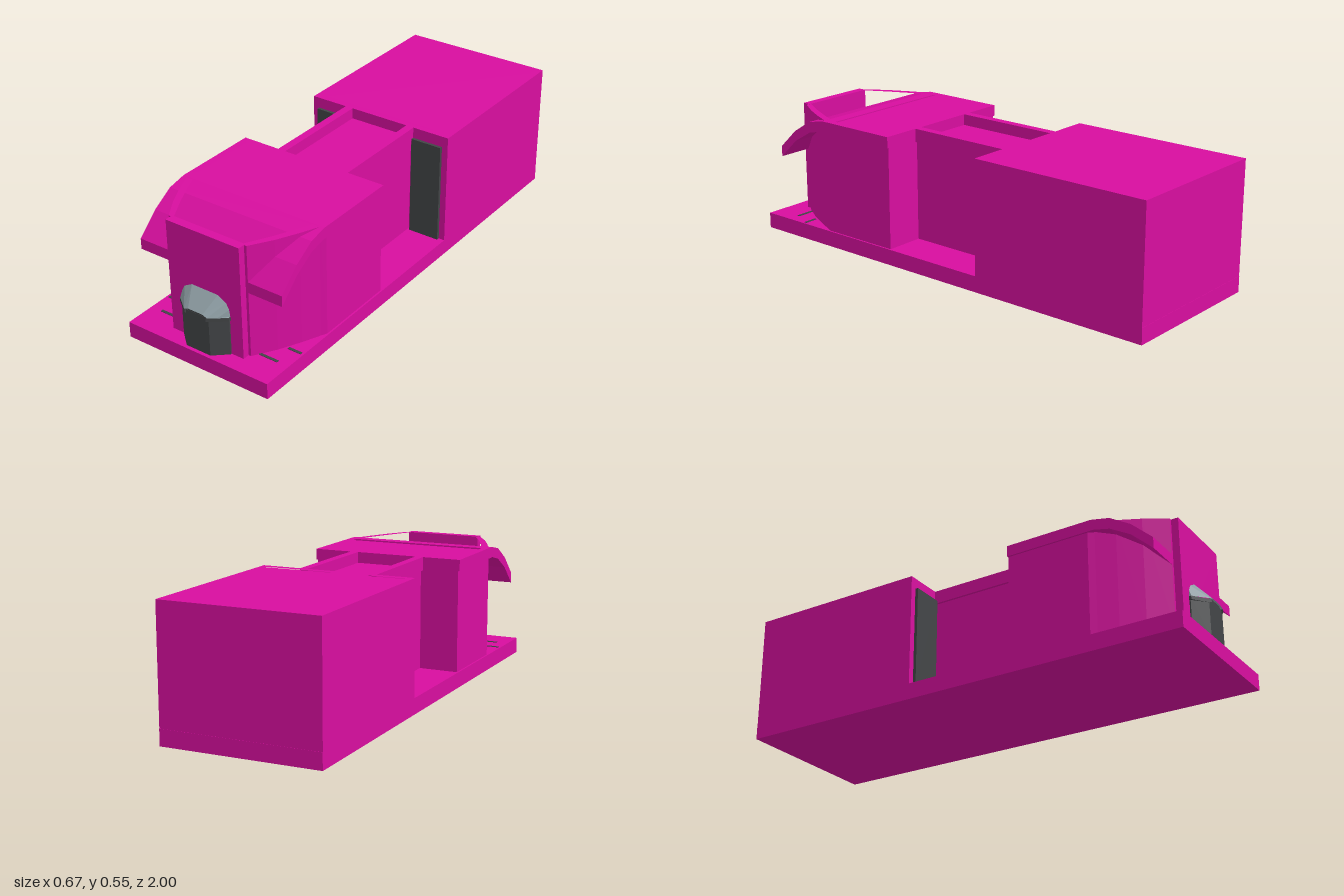
import * as THREE from 'three';

const paint = new THREE.MeshStandardMaterial({ color: 0xd80e9f, flatShading: true });
const dark = new THREE.MeshStandardMaterial({ color: 0x434547, flatShading: true });
const grey = new THREE.MeshStandardMaterial({ color: 0x90a0a6, flatShading: true, side: THREE.DoubleSide });

export function createModel() {
  const model = new THREE.Group();
  model.name = 'buildingBlock';

  const add = (name, geometry, material = paint) => {
    const mesh = new THREE.Mesh(geometry, material);
    mesh.name = name;
    model.add(mesh);
    return mesh;
  };
  // Box given by its limits on each axis
  const box = (name, x0, x1, y0, y1, z0, z1, material) =>
    add(name, new THREE.BoxGeometry(x1 - x0, y1 - y0, z1 - z0), material)
      .position.set((x0 + x1) / 2, (y0 + y1) / 2, (z0 + z1) / 2);
  const toPoints = (list) => list.map(([x, z]) => new THREE.Vector2(x, -z));
  // Plan outline of [x, z] points raised from y0 to y1, with an optional hole
  const raise = (name, outline, hole, y0, y1, material) => {
    const shape = new THREE.Shape(toPoints(outline));
    if (hole) shape.holes.push(new THREE.Path(toPoints(hole)));
    const geometry = new THREE.ExtrudeGeometry(shape, { depth: y1 - y0, bevelEnabled: false });
    add(name, geometry.rotateX(-Math.PI / 2).translate(0, y0, 0), material);
  };
  const rect = (x, z0, z1) => [[x, z0], [x, z1], [-x, z1], [-x, z0]];
  const mirrored = (half) => [...half, ...half.slice().reverse().map(([x, ...r]) => [-x, ...r])];

  const floor = 0.068, top = 0.552, eave = 0.505, half = 0.337;
  const panel = top - 0.008;

  box('base', -half, half, 0, floor, -1, 1);

  // Rear block with a slightly sunken roof panel
  box('rearBlock', -half, half, floor, panel, -0.999, -0.205);
  raise('rearRoofRim', rect(half, -0.999, -0.205), rect(half - 0.03, -0.969, -0.235), panel, top);

  // Corridor between the blocks, with raised edges
  box('corridor', -0.16, 0.16, floor, eave, -0.205, 0.27);
  for (const s of [-1, 1]) {
    const x = s * 0.1525;
    box('corridorParapet', x - 0.0175, x + 0.0175, eave - 0.01, top, -0.205, 0.262);
    box('sidePanel', s * 0.24 - 0.07, s * 0.24 + 0.07, floor, eave, -0.206, -0.192, dark);
  }

  // Front block: ring wall narrowing to the nose
  const outer = mirrored([[0.33, 0.262], [0.33, 0.62], [0.318, 0.645], [0.285, 0.72], [0.24, 0.81], [0.183, 0.9]]);
  const inner = mirrored([[0.305, 0.29], [0.305, 0.59], [0.29, 0.635], [0.26, 0.705], [0.217, 0.795], [0.163, 0.893]]);
  raise('frontWalls', outer, inner, floor, top - 0.001);
  box('noseWall', -0.172, 0.172, floor, top, 0.893, 0.93);

  // Front roof slab bending down into the side awnings
  const profile = new THREE.Shape([
    [0.26, eave], [0.65, eave], [0.72, 0.488], [0.81, 0.435], [0.9, 0.35],
    [0.9, 0.396], [0.81, 0.48], [0.72, 0.535], [0.64, top], [0.6, top], [0.6, panel], [0.26, panel],
  ].map(([z, y]) => new THREE.Vector2(z, y)));
  add('curvedRoof', new THREE.ExtrudeGeometry(profile, { depth: 2 * half, bevelEnabled: false })
    .rotateY(-Math.PI / 2).translate(half, 0, 0));
  raise('frontRoofRim', rect(half, 0.26, 0.62), rect(half - 0.03, 0.29, 0.59), panel, top);

  // Porch box on the nose
  raise('porch', [[0.115, 0.925], [0.115, 0.935], [0.058, 0.985], [-0.058, 0.985], [-0.115, 0.935], [-0.115, 0.925]],
    null, floor, 0.235, dark);
  box('porchLintel', -0.04, 0.04, 0.23, 0.245, 0.93, 0.984, dark);
  for (const s of [-1, 1]) {
    raise('porchTrim', [[s * 0.119, 0.93], [s * 0.119, 0.94], [s * 0.05, 0.992], [s * 0.05, 0.93]],
      null, 0.221, 0.236, dark);
  }

  // Sloping hood lofted between a rear arch and a front edge
  const rear = mirrored([[0.117, 0.236, 0.93], [0.113, 0.265, 0.93], [0.1, 0.29, 0.93], [0.062, 0.311, 0.93]]);
  const lip = mirrored([[0.117, 0.236, 0.94], [0.085, 0.237, 0.966], [0.055, 0.238, 0.99], [0.035, 0.246, 0.99]]);
  const index = [];
  for (let i = 0; i < rear.length - 1; i++) {
    const j = i + rear.length;
    index.push(i, j, j + 1, i, j + 1, i + 1);
  }
  const hood = new THREE.BufferGeometry();
  hood.setAttribute('position', new THREE.Float32BufferAttribute([...rear, ...lip].flat(), 3));
  hood.setIndex(index);
  hood.computeVertexNormals();
  add('porchHood', hood, grey);

  // Narrow floor slots beside the nose
  for (const s of [-1, 1]) {
    for (const [x, z, w] of [[0.243, 0.87, 0.085], [0.297, 0.78, 0.06]]) {
      box('floorSlot', s * x - w / 2, s * x + w / 2, floor - 0.002, floor + 0.002, z - 0.006, z + 0.006, dark);
    }
  }
  return model;
}
